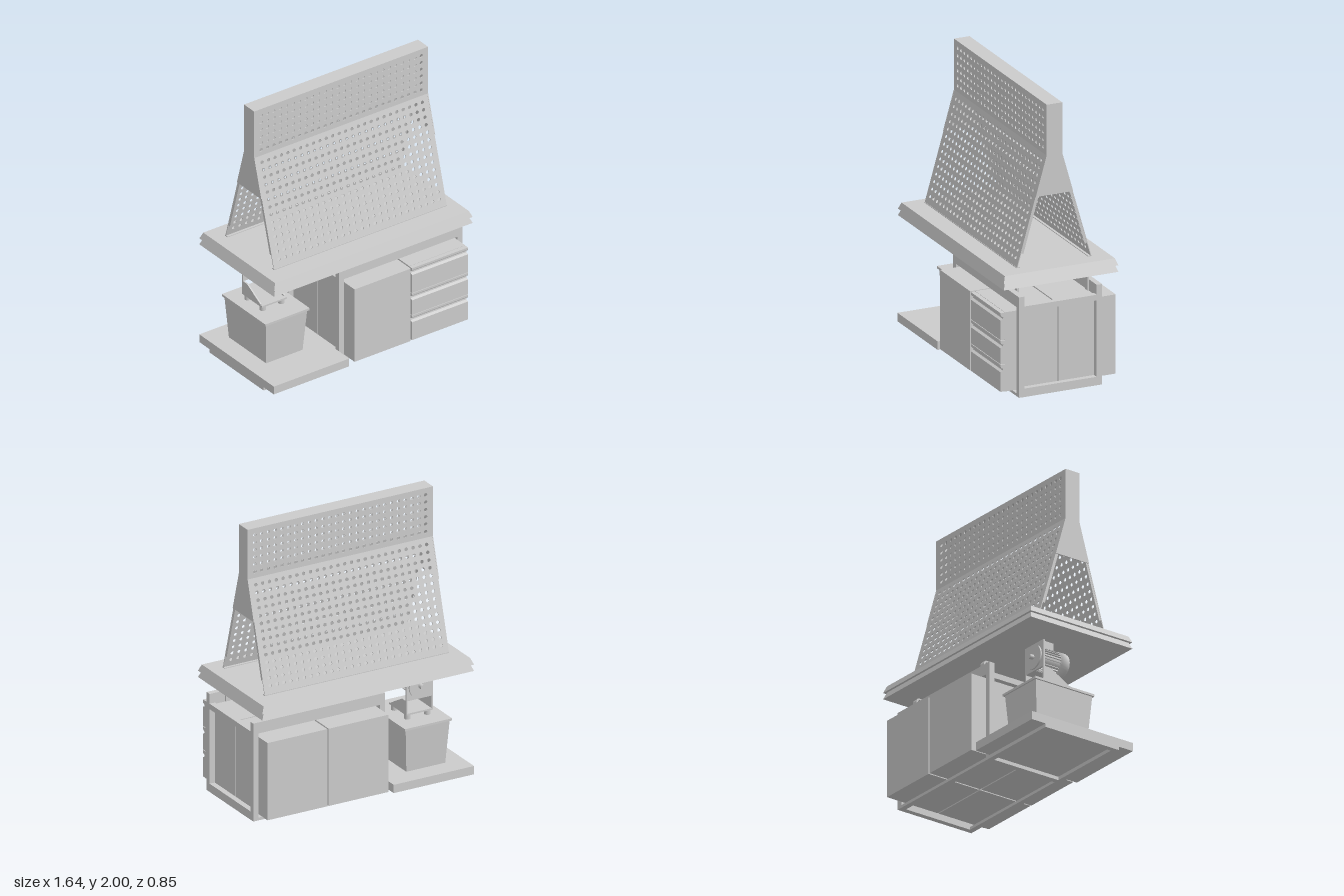
import * as THREE from 'three';

const grey = new THREE.MeshStandardMaterial({ color: 0xcccccc, side: THREE.DoubleSide });

function add(parent, name, geometry, x = 0, y = 0, z = 0) {
  const mesh = new THREE.Mesh(geometry, grey);
  mesh.name = name;
  mesh.position.set(x, y, z);
  parent.add(mesh);
  return mesh;
}

// box given by its limits on each axis
function box(parent, name, [x0, x1], [y0, y1], [z0, z1]) {
  return add(parent, name, new THREE.BoxGeometry(x1 - x0, y1 - y0, z1 - z0),
    (x0 + x1) / 2, (y0 + y1) / 2, (z0 + z1) / 2);
}

// box whose top and bottom rectangles differ
function taperedBox(parent, name, bottom, top, y0, y1, x = 0, z = 0) {
  const g = new THREE.BoxGeometry(1, y1 - y0, 1);
  const p = g.attributes.position;
  for (let i = 0; i < p.count; i++) {
    const [w, d] = p.getY(i) > 0 ? top : bottom;
    p.setXYZ(i, p.getX(i) * w, p.getY(i), p.getZ(i) * d);
  }
  g.computeVertexNormals();
  return add(parent, name, g, x, (y0 + y1) / 2, z);
}

// outline of [z, y] points extruded along x
function sideProfile(parent, name, points, x0, x1) {
  const shape = new THREE.Shape(points.map(([z, y]) => new THREE.Vector2(z, y)));
  const g = new THREE.ExtrudeGeometry(shape, { depth: x1 - x0, bevelEnabled: false });
  g.rotateY(-Math.PI / 2);
  return add(parent, name, g, x1);
}

// perforated sheet hanging down from its local origin
function pegSheet(height, rowOffsets) {
  const w = 0.71, s = new THREE.Shape();
  s.moveTo(-w, -height).lineTo(w, -height).lineTo(w, 0).lineTo(-w, 0).closePath();
  for (const y of rowOffsets) {
    for (let i = 0; i < 26; i++) {
      const hole = new THREE.Path();
      hole.absarc(-0.659 + i * 0.0527, -y, 0.0125, 0, Math.PI * 2, true);
      s.holes.push(hole);
    }
  }
  const g = new THREE.ExtrudeGeometry(s, { depth: 0.006, bevelEnabled: false, curveSegments: 10 });
  return g.translate(0, 0, -0.006);
}

function pegboard() {
  const group = new THREE.Group();
  group.name = 'pegboard';
  const bend = 1.64, angle = Math.atan2(0.218, 0.76), len = Math.hypot(0.76, 0.218);
  const upper = pegSheet(0.36, Array.from({ length: 6 }, (_, i) => 0.05 + i * 0.053));
  const lower = pegSheet(len, Array.from({ length: 14 }, (_, i) => (0.045 + i * 0.0508) / Math.cos(angle)));
  for (const turn of [0, Math.PI]) {
    const side = new THREE.Group();
    side.name = 'pegboardFace';
    side.rotation.y = turn;
    add(side, 'upperSheet', upper, 0, 2, 0.057);
    add(side, 'slopedSheet', lower, 0, bend, 0.057).rotation.x = -angle;
    box(side, 'bottomLip', [-0.71, 0.71], [0.877, 0.882], [0.25, 0.277]);
    // stiffening flanges folded in at the open ends
    for (const s of [-1, 1]) {
      const flange = new THREE.BoxGeometry(0.006, 0.41, 0.02).translate(0, -0.485, -0.012);
      add(side, 'sheetFlange', flange, s * 0.706, bend, 0.057).rotation.x = -angle;
    }
    group.add(side);
  }
  box(group, 'topCap', [-0.712, 0.712], [1.994, 2], [-0.057, 0.057]);
  const end = [[-0.138, 1.36], [0.138, 1.36], [0.058, bend], [0.058, 2], [-0.058, 2], [-0.058, bend]];
  sideProfile(group, 'endPlate', end, 0.708, 0.715);
  sideProfile(group, 'endPlate', end, -0.715, -0.708);
  group.position.z = -0.003;
  return group;
}

function cabinet() {
  const group = new THREE.Group();
  group.name = 'cabinet';
  const X = [-0.2, 0.815], t = 0.04, Z = 0.306;
  // open frame
  for (const x of [X[0], X[1] - t]) {
    for (const z of [-Z, Z - t]) box(group, 'framePost', [x, x + t], [0, 0.71], [z, z + t]);
    box(group, 'upperSideRail', [x, x + t], [0.6, 0.64], [-Z + t, Z - t]);
    box(group, 'lowerSideRail', [x, x + t], [0, 0.06], [-Z + t, Z - t]);
  }
  for (const z of [-Z, Z - t]) {
    box(group, 'upperLongRail', [X[0] + t, X[1] - t], [0.63, 0.71], [z, z + t]);
    box(group, 'lowerLongRail', [X[0] + t, X[1] - t], [0, 0.02], [z, z + t]);
  }
  // cupboards and drawer unit
  const bayA = [-0.157, 0.304], bayB = [0.315, 0.775], Y = [0.045, 0.605];
  box(group, 'frontCupboard', bayA, Y, [0.005, 0.422]);
  box(group, 'backCupboard', bayA, Y, [-0.425, -0.005]);
  box(group, 'backCupboard', bayB, Y, [-0.425, -0.005]);
  box(group, 'drawerBody', bayB, Y, [0.005, 0.39]);
  const levels = [0.045, 0.24, 0.41, 0.605];
  for (let i = 0; i < 3; i++) {
    const a = levels[i] + 0.002, b = levels[i + 1] - 0.002, f = 0.422;
    sideProfile(group, 'drawerFront', [[0.39, a], [f, a], [f, b - 0.053], [0.405, b - 0.043],
      [0.403, b - 0.03], [f - 0.003, b - 0.022], [f, b - 0.015], [f, b], [0.39, b]], ...bayB);
  }
  // hooked brackets carrying the worktop
  for (const x of [-0.0625, 0.68]) {
    for (const s of [1, -1]) {
      const p = [[0.264, 0.635], [0.264, 0.755], [0.259, 0.768], [0.247, 0.778], [0.205, 0.778],
        [0.205, 0.766], [0.243, 0.766], [0.252, 0.755], [0.252, 0.635]];
      sideProfile(group, 'worktopBracket', p.map(([z, y]) => [z * s, y]), x - 0.019, x + 0.019);
    }
  }
  return group;
}

function motor() {
  const group = new THREE.Group();
  group.name = 'motor';
  const cx = -0.537, cy = 0.645;
  const drum = (name, r, z0, z1) => add(group, name,
    new THREE.CylinderGeometry(r, r, z1 - z0, 32).rotateX(Math.PI / 2), cx, cy, (z0 + z1) / 2);
  // rounded fan cover
  const cover = [[0, 0.055], [0.07, 0.055], [0.08, 0.048], [0.085, 0.035], [0.085, -0.02], [0, -0.02]];
  add(group, 'fanCover', new THREE.LatheGeometry(cover.map(([r, z]) => new THREE.Vector2(r, z)), 32)
    .rotateX(Math.PI / 2), cx, cy);
  drum('motorBody', 0.07, -0.175, -0.02);
  drum('endFlange', 0.085, -0.2, -0.188);
  drum('shaft', 0.017, -0.232, -0.2);
  for (let i = 0; i < 24; i++) {
    const fin = new THREE.BoxGeometry(0.005, 0.014, 0.15).translate(0, 0.075, 0);
    add(group, 'coolingFin', fin, cx, cy, -0.097).rotation.z = i * Math.PI / 12;
  }
  box(group, 'terminalBox', [-0.576, -0.499], [0.7, 0.77], [-0.148, -0.055]);
  // stand with an upright plate on two legs
  const left = -0.639, right = -0.435;
  box(group, 'mountPlate', [left, right], [0.55, 0.745], [-0.188, -0.175]);
  for (const x of [left, right - 0.01]) {
    sideProfile(group, 'standCheek', [[-0.188, 0.455], [0.02, 0.455], [0.02, 0.465], [-0.13, 0.55],
      [-0.188, 0.55]], x, x + 0.01);
  }
  box(group, 'standBase', [left, right], [0.448, 0.46], [-0.19, 0.04]);
  for (const x of [-0.613, -0.459]) {
    for (const z of [-0.16, 0.01]) {
      add(group, 'standFoot', new THREE.CylinderGeometry(0.022, 0.022, 0.04, 20), x, 0.43, z);
    }
  }
  return group;
}

function bin() {
  const group = new THREE.Group();
  group.name = 'bin';
  taperedBox(group, 'binBody', [0.3, 0.42], [0.34, 0.47], 0.085, 0.4, -0.533, -0.065);
  box(group, 'binLid', [-0.715, -0.351], [0.397, 0.413], [-0.31, 0.18]);
  return group;
}

function shelf() {
  const group = new THREE.Group();
  group.name = 'shelf';
  box(group, 'shelfSlab', [-0.82, -0.2], [0.025, 0.085], [-0.42, 0.42]);
  for (const z of [-0.306, 0.266]) box(group, 'shelfRunner', [-0.82, -0.2], [0, 0.025], [z, z + 0.04]);
  box(group, 'shelfEndRunner', [-0.82, -0.78], [0, 0.025], [-0.266, 0.266]);
  return group;
}

export function createModel() {
  const model = new THREE.Group();
  model.name = 'workbench';
  // worktop of two flared layers
  for (const y of [0.777, 0.823]) {
    taperedBox(model, 'worktopLayer', [1.632, 0.845], [1.592, 0.811], y, y + 0.046, 0, -0.004);
  }
  model.add(pegboard(), cabinet(), motor(), bin(), shelf());
  return model;
}
